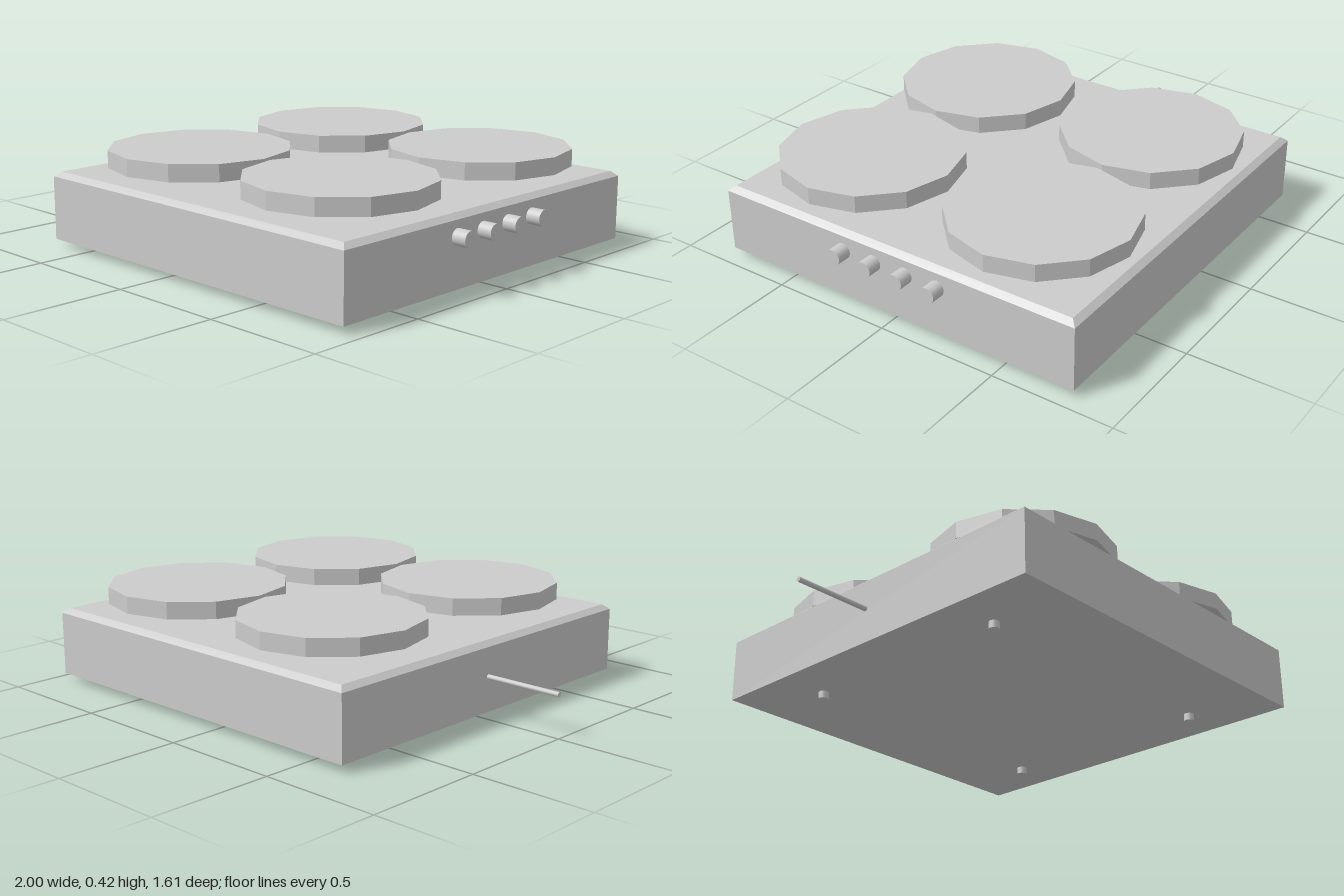
import * as THREE from 'three';

const mat = new THREE.MeshStandardMaterial({ color: 0xcccccc, flatShading: true });
const smooth = new THREE.MeshStandardMaterial({ color: 0xcccccc });

export function createModel() {
  const group = new THREE.Group();

  function add(name, geometry, x, y, z, material = mat) {
    const mesh = new THREE.Mesh(geometry, material);
    mesh.name = name;
    mesh.position.set(x, y, z);
    group.add(mesh);
    return mesh;
  }

  // Casing, with a bevelled rim made by pulling in the upper corners
  const W = 1.61, D = 1.61, cx = 0.135, inset = 0.024;
  add('casing', new THREE.BoxGeometry(W, 0.26, D), cx, 0.16, 0);
  const rim = new THREE.BoxGeometry(W, 0.02, D);
  const p = rim.attributes.position;
  for (let i = 0; i < p.count; i++) {
    if (p.getY(i) > 0) {
      p.setX(i, p.getX(i) - Math.sign(p.getX(i)) * inset);
      p.setZ(i, p.getZ(i) - Math.sign(p.getZ(i)) * inset);
    }
  }
  rim.computeVertexNormals();
  add('bevelledTop', rim, cx, 0.3, 0);

  // Four twelve-sided hot plates on short stems
  const plate = new THREE.CylinderGeometry(0.37, 0.37, 0.07, 12);
  const stem = new THREE.CylinderGeometry(0.068, 0.068, 0.05, 6);
  for (const x of [-0.23, 0.54]) {
    for (const z of [-0.404, 0.404]) {
      add('hotPlate', plate, x, 0.385, z);
      add('plateStem', stem, x < 0 ? x - 0.015 : x, 0.33, z);
    }
  }

  // Small round feet
  const foot = new THREE.CylinderGeometry(0.021, 0.021, 0.035, 16);
  for (const x of [-0.465, 0.735]) {
    for (const z of [-0.47, 0.47]) add('foot', foot, x, 0.0175, z, smooth);
  }

  // Row of control knobs on the side
  const knob = new THREE.CylinderGeometry(0.032, 0.032, 0.07, 24).rotateZ(-Math.PI / 2);
  for (let i = 0; i < 4; i++) add('controlKnob', knob, 0.965, 0.227, -0.219 + i * 0.146, smooth);

  // Power cord on the opposite side
  const cord = new THREE.CylinderGeometry(0.01, 0.01, 0.35, 12).rotateZ(Math.PI / 2);
  add('powerCord', cord, -0.825, 0.172, -0.004, smooth);

  return group;
}
